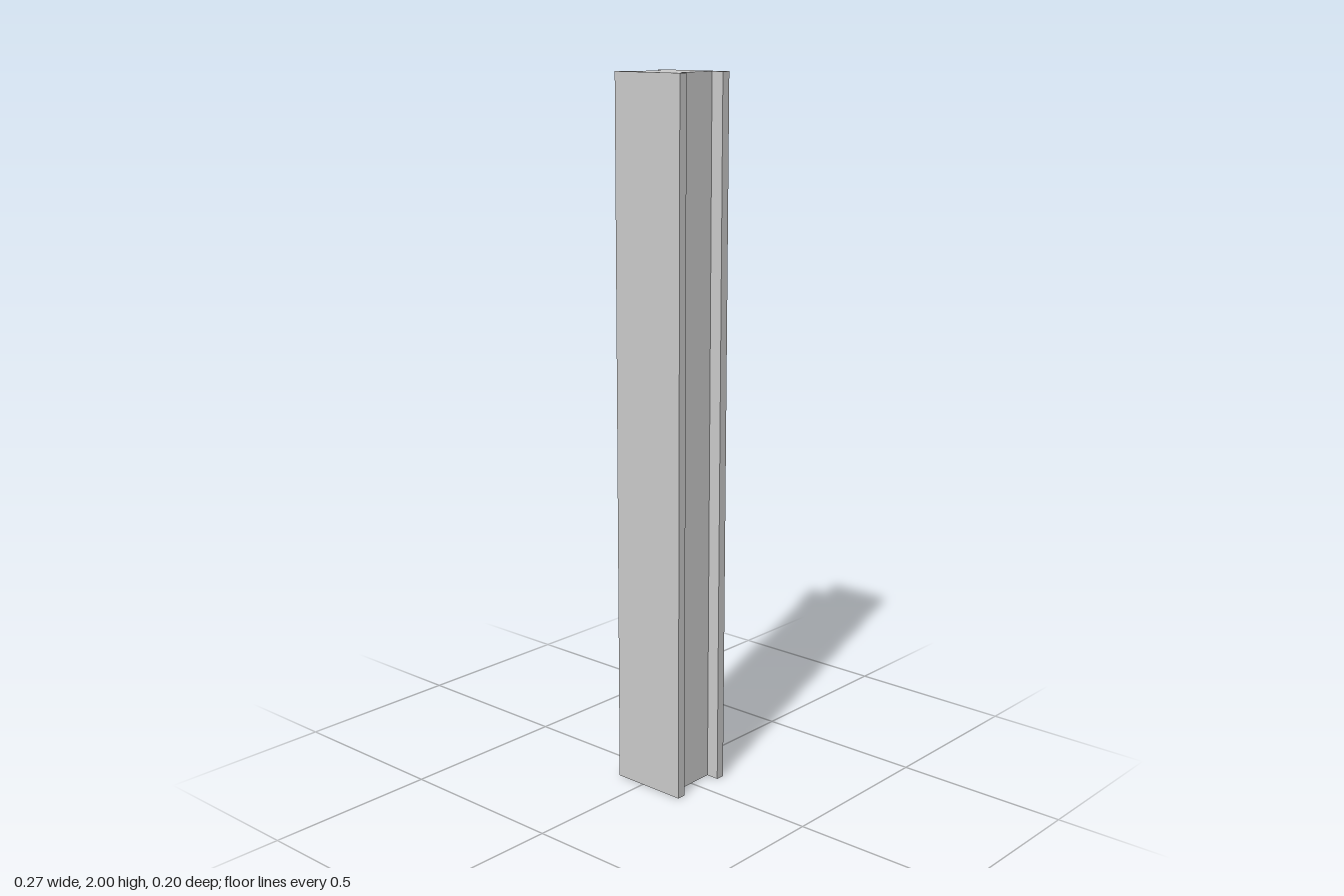
import * as THREE from 'three';

const grey = new THREE.MeshStandardMaterial({ color: 0xcccccc, flatShading: true });

// Extrude a closed outline of [x, y] points by the given depth
function extrude(name, points, depth) {
  const shape = new THREE.Shape(points.map(([x, y]) => new THREE.Vector2(x, y)));
  const geometry = new THREE.ExtrudeGeometry(shape, { depth, bevelEnabled: false });
  const mesh = new THREE.Mesh(geometry, grey);
  mesh.name = name;
  return mesh;
}

export function createModel() {
  const model = new THREE.Group();
  model.name = 'columnWithBracket';

  // H-section column: thick web between two wide flanges
  const half = [[-0.091, 0.098], [-0.091, 0.072], [-0.052, 0.072]];
  const otherHalf = [[0.099, 0.072], [0.136, 0.072], [0.136, 0.098]];
  const mirror = (pts) => pts.map(([x, z]) => [x, -z]).reverse();
  const column = extrude('column', [...half, ...mirror(half), ...mirror(otherHalf), ...otherHalf], 2);
  column.rotation.x = -Math.PI / 2;
  model.add(column);

  // Angle bracket in the channel: two thin plates with sloped lower edges
  const bracket = new THREE.Group();
  bracket.name = 'bracket';
  const top = 1.995, outer = 1.84, inner = 1.74, thickness = 0.005;

  const plate = extrude('bracketPlate',
    [[-0.137, top], [-0.137, outer], [-0.057, inner], [-0.057, top]], thickness);
  plate.position.z = 0.001;

  // Leg outline runs along z, turned to lie beside the web
  const leg = extrude('bracketLeg',
    [[-0.001, top], [-0.001, inner], [0.052, outer], [0.052, top]], thickness);
  leg.rotation.y = Math.PI / 2;
  leg.position.x = -0.062;

  bracket.add(plate, leg);
  model.add(bracket);
  return model;
}
